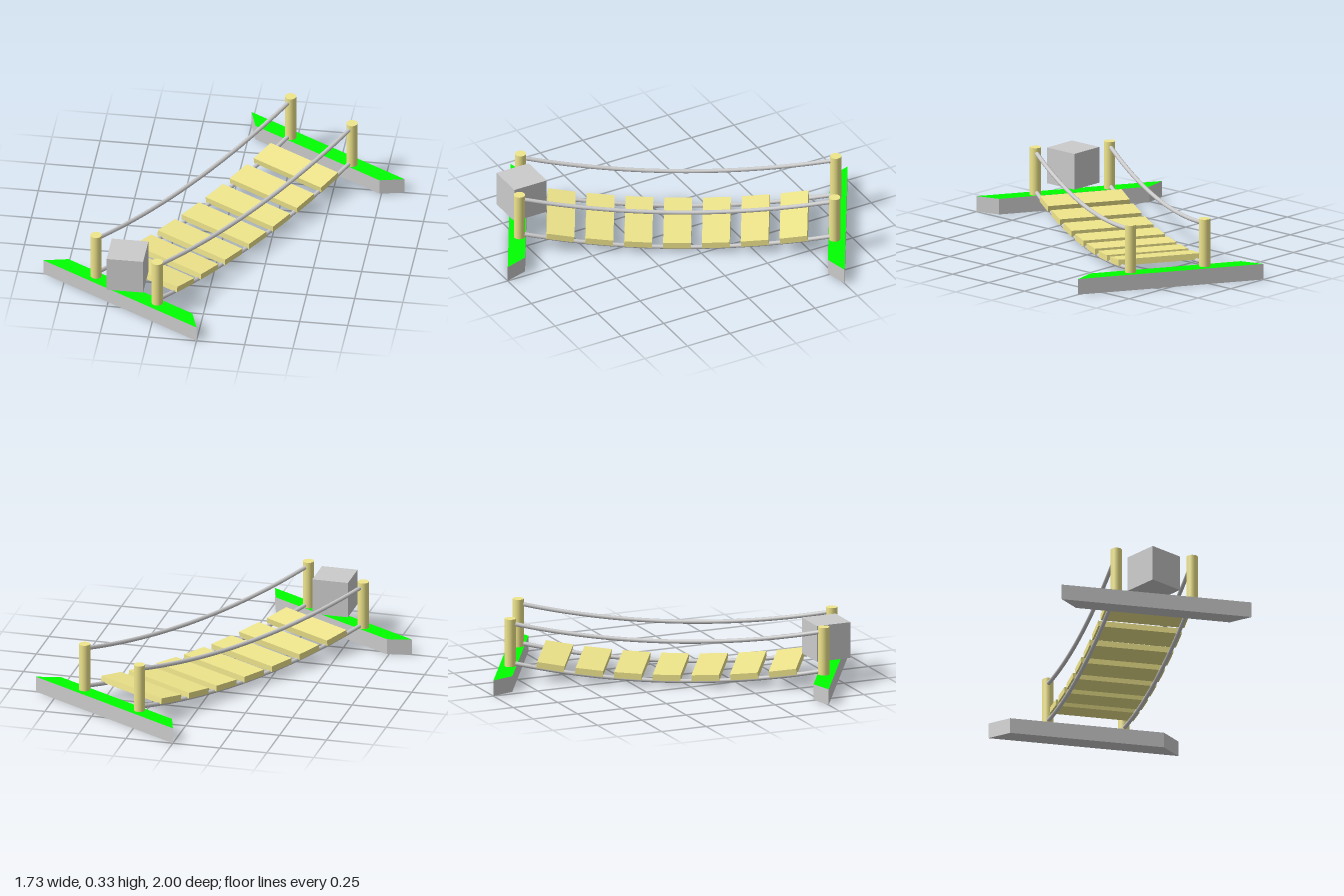
import * as THREE from 'three';

const grey = new THREE.MeshStandardMaterial({ color: 0xcccccc });
const wood = new THREE.MeshStandardMaterial({ color: 0xf0e68c });
const grass = new THREE.MeshStandardMaterial({ color: 0x00ff00 });

const POST_X = 0.2, POST_Z = 0.81, SAG = 0.075;

// Height of a hanging rope above its lowest point
const hang = (z) => SAG * (z / POST_Z) ** 2;

function add(parent, name, geometry, material, x = 0, y = 0, z = 0) {
  const mesh = new THREE.Mesh(geometry, material);
  mesh.name = name;
  mesh.position.set(x, y, z);
  parent.add(mesh);
  return mesh;
}

// Trapezoid slab: grey underside and sides, green top
function bankGeometry() {
  const shape = new THREE.Shape([
    [-0.405, 0.778], [0.405, 0.778], [0.5, 0.866], [-0.5, 0.866],
  ].map(([x, y]) => new THREE.Vector2(x, y)));
  const geo = new THREE.ExtrudeGeometry(shape, { depth: 0.083, bevelEnabled: false });
  geo.rotateX(-Math.PI / 2);
  geo.clearGroups();
  geo.addGroup(0, 6, 0);
  geo.addGroup(6, 6, 1);
  geo.addGroup(12, 24, 0);
  return geo;
}

function ropeGeometry(lowest) {
  const points = [];
  for (let i = 0; i <= 12; i++) {
    const z = -POST_Z + (2 * POST_Z * i) / 12;
    points.push(new THREE.Vector3(0, lowest + hang(z), z));
  }
  return new THREE.TubeGeometry(new THREE.CatmullRomCurve3(points), 40, 0.011, 10);
}

export function createModel() {
  const model = new THREE.Group();
  model.name = 'ropeBridge';

  // The bridge runs diagonally
  const bridge = new THREE.Group();
  bridge.name = 'bridge';
  bridge.rotation.y = -Math.PI / 6;
  model.add(bridge);

  // Banks and their posts at both ends
  const bankGeo = bankGeometry();
  const postGeo = new THREE.CylinderGeometry(0.029, 0.029, 0.295, 24);
  for (const end of [-1, 1]) {
    const bank = add(bridge, end < 0 ? 'backBank' : 'frontBank', bankGeo, [grey, grass]);
    bank.rotation.y = end < 0 ? 0 : Math.PI;
    for (const side of [-1, 1]) {
      add(bridge, 'post', postGeo, wood, side * POST_X, 0.1875, end * POST_Z);
    }
  }

  // Hand ropes and deck ropes
  const handRope = ropeGeometry(0.235);
  const deckRope = ropeGeometry(0.026);
  for (const side of [-1, 1]) {
    add(bridge, 'handRope', handRope, grey, side * POST_X);
    add(bridge, 'deckRope', deckRope, grey, side * POST_X);
  }

  // Planks following the slope of the deck ropes
  const plankGeo = new THREE.BoxGeometry(0.44, 0.032, 0.143);
  for (let i = -3; i <= 3; i++) {
    const z = i * 0.2;
    const plank = add(bridge, 'plank', plankGeo, wood, 0, 0.046 + hang(z), z);
    plank.rotation.x = -Math.atan((2 * SAG * z) / POST_Z ** 2);
  }

  // Floating block above the front bank
  add(model, 'block', new THREE.BoxGeometry(0.19, 0.19, 0.19), grey, -0.402, 0.224, 0.694);

  return model;
}
